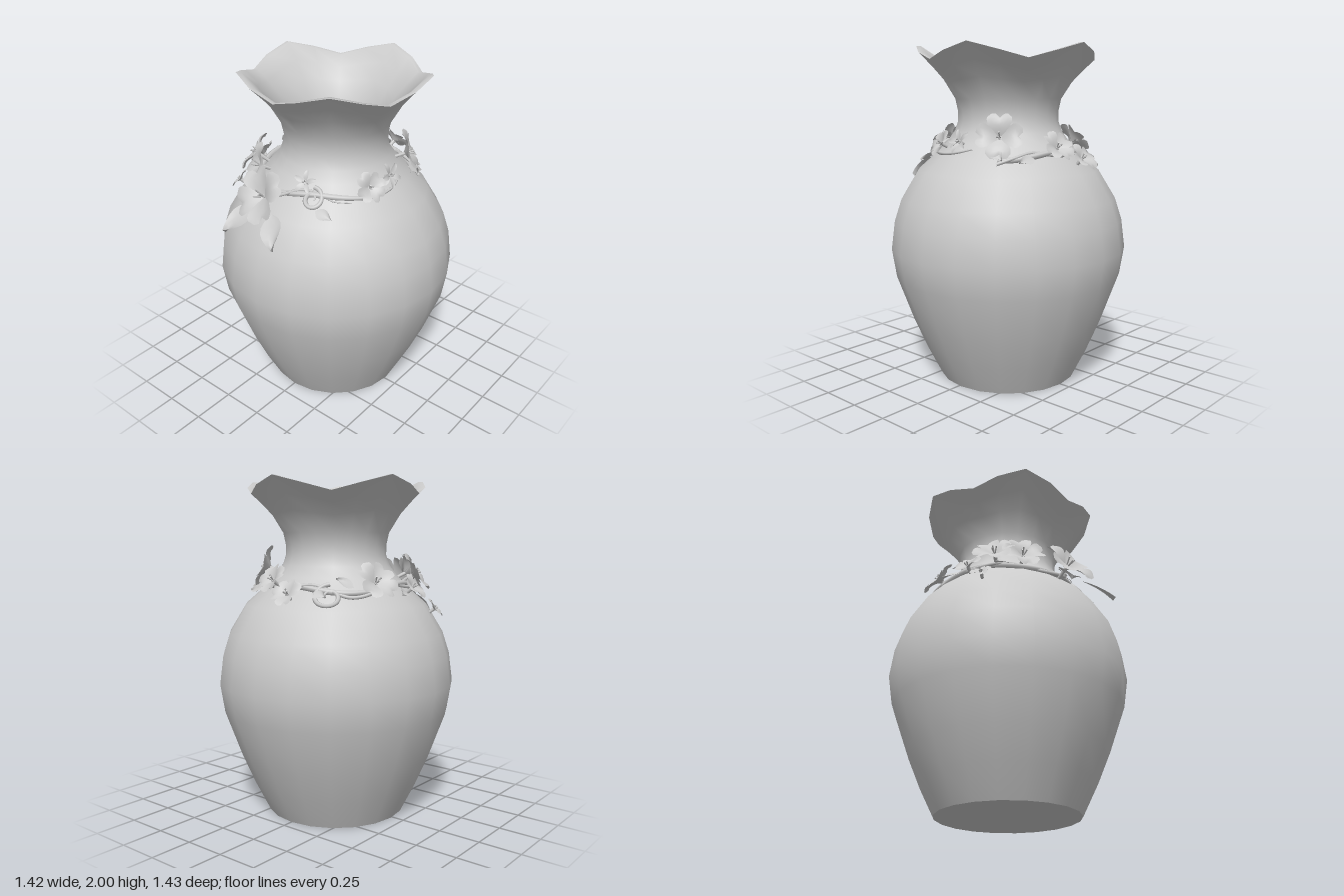
import * as THREE from 'three';
import { toCreasedNormals } from 'three/addons/utils/BufferGeometryUtils.js';

const clay = new THREE.MeshStandardMaterial({ color: 0xcccccc });
const thin = new THREE.MeshStandardMaterial({ color: 0xcccccc, side: THREE.DoubleSide });
const AXIS_Z = -0.015;
const RAD = Math.PI / 180;

// Outer profile of the vase: [radius, height]
const PROFILE = [
  [0.42, 0], [0.51, 0.18], [0.587, 0.36], [0.685, 0.63], [0.712, 0.8], [0.69, 0.97], [0.648, 1.1],
  [0.545, 1.27], [0.437, 1.365], [0.365, 1.44], [0.322, 1.5], [0.302, 1.56], [0.303, 1.62],
  [0.318, 1.69], [0.385, 1.8], [0.455, 1.88], [0.53, 1.955],
];

function radiusAt(y) {
  const i = Math.max(1, PROFILE.findIndex((p) => p[1] >= y));
  const [r0, y0] = PROFILE[i - 1], [r1, y1] = PROFILE[i];
  return r0 + (r1 - r0) * (y - y0) / (y1 - y0);
}

// Point on the vase at an angle from the front (towards +x), standing off by `off`
function onVase(deg, y, off = 0) {
  const r = radiusAt(y) + off, a = deg * RAD;
  return new THREE.Vector3(Math.sin(a) * r, y, Math.cos(a) * r + AXIS_Z);
}

function add(parent, name, geometry, material) {
  const mesh = new THREE.Mesh(geometry, material);
  mesh.name = name;
  parent.add(mesh);
  return mesh;
}

// Hollow turned body; the mouth is ruffled into five waves
function vaseGeometry() {
  const wall = 0.026;
  const outer = PROFILE.map(([r, y]) => new THREE.Vector2(r, y));
  const inner = PROFILE.slice(1).reverse().map(([r, y]) => new THREE.Vector2(r - wall, y));
  const points = [new THREE.Vector2(0, 0), ...outer, ...inner,
    new THREE.Vector2(0.41, 0.03), new THREE.Vector2(0, 0.03)];
  const geo = new THREE.LatheGeometry(points, 20);
  const pos = geo.attributes.position;
  for (let i = 0; i < pos.count; i++) {
    const x = pos.getX(i), y = pos.getY(i), z = pos.getZ(i);
    const t = Math.max(0, (y - 1.65) / 0.305) ** 1.5;
    const wave = t * Math.cos(5 * Math.atan2(x, -z));
    const k = 1 + 0.04 * wave;
    pos.setXYZ(i, x * k, y + 0.043 * wave, z * k);
  }
  geo.deleteAttribute('uv');
  return toCreasedNormals(geo, 0.9);
}

// Unit-length blade growing along +y: width rule, tip notch, cupping and backward curl
function bladeGeometry(width, notch, cup, lift) {
  const geo = new THREE.PlaneGeometry(2, 1, 6, 6);
  const pos = geo.attributes.position;
  for (let i = 0; i < pos.count; i++) {
    const s = pos.getX(i), v = pos.getY(i) + 0.5;
    const tip = 1 - notch * v * v * Math.max(0, 1 - 2.5 * Math.abs(s)) - 0.22 * (notch > 0 ? s ** 4 * v : 0);
    pos.setXYZ(i, s * width(v), v * tip, lift * Math.sin(v * 2.2) + cup * s * s * v);
  }
  geo.computeVertexNormals();
  return geo;
}
const petalGeo = bladeGeometry((v) => 0.07 + 0.45 * Math.sin(Math.min(1, v * 1.1) * 1.75), 0.2, 0.14, 0.28);
const slimGeo = bladeGeometry((v) => 0.05 + 0.17 * Math.sin(v * 2.8), 0, 0.05, 0.25);
const leafGeo = bladeGeometry((v) => 0.3 * Math.sin(Math.PI * v ** 0.8), 0, 0.12, 0.1);

// Group standing on the vase, local +z facing outwards and tilted up
function mount(parent, name, deg, y, off, tilt, roll) {
  const g = new THREE.Group();
  g.name = name;
  g.position.copy(onVase(deg, y, off));
  g.rotation.set(-tilt * RAD, deg * RAD, roll * RAD, 'YXZ');
  parent.add(g);
  return g;
}

function flower(parent, [deg, y, off, size, tilt, roll, petals, slim]) {
  const g = mount(parent, slim ? 'starFlower' : 'flower', deg, y, off, tilt, roll);
  for (let i = 0; i < petals; i++) {
    const petal = add(g, 'petal', slim ? slimGeo : petalGeo, thin);
    petal.scale.setScalar(size);
    petal.rotation.z = (i / petals) * Math.PI * 2;
  }
  // Stamens and the short stalk behind
  for (let i = 0; i < 3; i++) {
    const stamen = add(g, 'stamen', new THREE.CylinderGeometry(0.005, 0.003, size * 0.45, 5), clay);
    stamen.geometry.translate(0, size * 0.22, 0);
    stamen.rotation.set(Math.PI / 2 - 0.3, 0, 0);
    stamen.rotation.order = 'ZXY';
    stamen.rotation.z = i * 2.1;
  }
  const stalk = add(g, 'stalk', new THREE.CylinderGeometry(0.012, 0.009, off + 0.02, 6), clay);
  stalk.rotation.x = Math.PI / 2;
  stalk.position.z = -off / 2;
}

function leaf(parent, [deg, y, off, size, tilt, roll]) {
  add(mount(parent, 'leaf', deg, y, off, tilt, roll), 'leafBlade', leafGeo, thin).scale.setScalar(size);
}

// Tube through a list of points, tapering to a fine end
function vine(parent, name, points, radius, segments) {
  const curve = new THREE.CatmullRomCurve3(points);
  const geo = new THREE.TubeGeometry(curve, segments, radius, 6);
  const pos = geo.attributes.position, p = new THREE.Vector3(), c = new THREE.Vector3();
  for (let i = 0; i < pos.count; i++) {
    const t = Math.floor(i / 7) / segments;
    curve.getPointAt(t, c);
    p.fromBufferAttribute(pos, i).sub(c).multiplyScalar(Math.min(1, 0.25 + 4 * (1 - t))).add(c);
    pos.setXYZ(i, p.x, p.y, p.z);
  }
  add(parent, name, geo, clay);
}

// Curling tendril lying on the shoulder
function tendril(parent, deg, y, size, dir) {
  const points = [];
  for (let i = 0; i <= 18; i++) {
    const t = i / 18, r = size * (1 - 0.8 * t), a = Math.PI / 2 + dir * t * 8.5;
    const yy = y + Math.sin(a) * r * 0.75;
    points.push(onVase(deg + Math.cos(a) * r / 0.45 / RAD, yy, 0.02));
  }
  vine(parent, 'tendril', points, 0.013, 48);
}

export function createModel() {
  const model = new THREE.Group();
  model.name = 'vase';
  add(model, 'vaseBody', vaseGeometry(), clay).position.z = AXIS_Z;

  const garland = new THREE.Group();
  garland.name = 'garland';
  model.add(garland);

  // Main stem around the shoulder and a thinner one winding over it
  const stem = [], twist = [];
  for (let d = -236; d <= 102; d += 13) {
    const y = 1.38 + 0.02 * Math.sin(d * 0.06) + (d > 40 ? (d - 40) * 0.0006 : 0);
    stem.push(onVase(d, y, 0.012));
    if (d < 60) twist.push(onVase(d, y + 0.022 * Math.sin(d * 0.11), 0.02 + 0.012 * Math.cos(d * 0.11)));
  }
  vine(garland, 'mainStem', stem, 0.017, 130);
  vine(garland, 'twistingStem', twist, 0.01, 130);

  tendril(garland, 22, 1.385, 0.065, -1);
  tendril(garland, -146, 1.345, 0.085, 1);

  // angle, height, stand-off, petal length, tilt, roll, petal count, slim
  [
    [-8, 1.37, 0.1, 0.165, 32, 40, 4],
    [-36, 1.44, 0.075, 0.13, 25, 10, 4],
    [-57, 1.44, 0.09, 0.13, 35, 30, 4],
    [-76, 1.37, 0.05, 0.09, 40, 0, 4],
    [-62, 1.24, 0.025, 0.065, 40, 20, 4],
    [-112, 1.41, 0.05, 0.125, 38, 45, 4],
    [-173, 1.35, 0.05, 0.095, 45, 15, 4],
    [168, 1.42, 0.07, 0.1, 40, 30, 4],
    [125, 1.48, 0.06, 0.135, 22, 0, 4],
    [65, 1.43, 0.04, 0.09, 30, 35, 4],
    [14, 1.45, 0.03, 0.065, 35, 0, 5, true],
    [88, 1.45, 0.035, 0.075, 25, 20, 5, true],
  ].forEach((f) => flower(garland, f));

  // angle, height, stand-off, length, tilt, roll
  [
    [-12, 1.31, 0.07, 0.23, 40, 158],
    [2, 1.31, 0.07, 0.22, 40, 212],
    [26, 1.34, 0.02, 0.11, 45, 245],
    [-45, 1.38, 0.04, 0.11, 45, 120],
    [-84, 1.36, 0.03, 0.11, 45, 110],
    [-128, 1.39, 0.02, 0.11, 45, 60],
    [-158, 1.36, 0.03, 0.1, 45, 250],
    [150, 1.37, 0.03, 0.11, 45, 110],
    [118, 1.42, 0.04, 0.12, 40, 225],
    [76, 1.42, 0.02, 0.08, 40, 290],
  ].forEach((l) => leaf(garland, l));

  return model;
}
